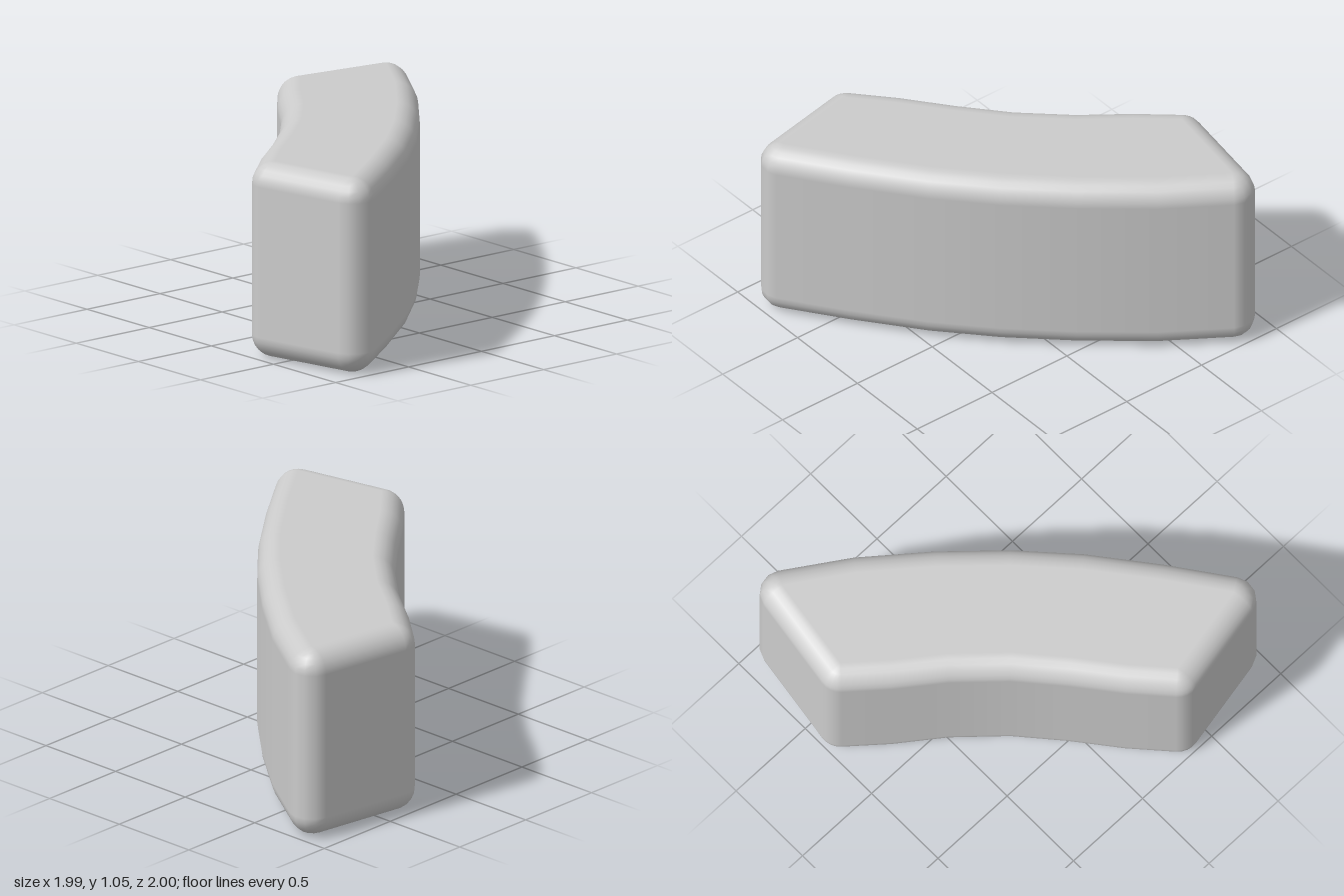
import * as THREE from 'three';

const HEIGHT = 1.05, RADIUS = 0.12, CORNER_STEPS = 4, EDGE_STEPS = 6;

// Plan of the block's core [x, z]; the rounded surface lies RADIUS outside it
const outerSide = [[-0.8, -0.88], [-0.472, -0.664], [-0.149, -0.4], [0.135, -0.136],
  [0.389, 0.138], [0.644, 0.462], [0.872, 0.778]];
const innerSide = [[0.37, 0.88], [0.195, 0.686], [0.01, 0.452], [-0.196, 0.215],
  [-0.443, -0.012], [-0.686, -0.194], [-0.88, -0.36]];

// Outward direction, as an angle in plan, for travel from a to b
const outward = (a, b) => Math.atan2(a[0] - b[0], b[1] - a[1]);

// Loop of core points with outward angles; end corners turn in small steps
function planLoop() {
  const loop = [];
  const sides = [outerSide, innerSide];
  sides.forEach((side, s) => {
    const last = side.length - 1;
    const next = sides[1 - s];
    side.forEach((p, i) => {
      const angle = outward(side[Math.max(i - 1, 0)], side[Math.min(i + 1, last)]);
      loop.push({ p, angle });
    });
    // From the side's end, round to the end face, then round to the other side
    const stops = [outward(side[last - 1], side[last]), outward(side[last], next[0]), outward(next[0], next[1])];
    for (let k = 0; k < 2; k++) {
      const turn = THREE.MathUtils.euclideanModulo(stops[k + 1] - stops[k], 2 * Math.PI);
      const first = k === 0 ? 1 : 0;
      const end = k === 0 ? CORNER_STEPS : CORNER_STEPS - 1;
      for (let i = first; i <= end; i++) {
        loop.push({ p: k === 0 ? side[last] : next[0], angle: stops[k] + turn * i / CORNER_STEPS });
      }
    }
  });
  return loop;
}

function roundedBlock() {
  const loop = planLoop(), n = loop.length;
  const positions = [], normals = [], index = [];

  // Quarter-round rings for the lower edge, then for the upper edge
  const rings = [];
  for (let j = 0; j <= EDGE_STEPS; j++) rings.push([RADIUS, (j / EDGE_STEPS - 1) * Math.PI / 2]);
  for (let j = 0; j <= EDGE_STEPS; j++) rings.push([HEIGHT - RADIUS, j / EDGE_STEPS * Math.PI / 2]);
  for (const [y, tilt] of rings) {
    for (const { p, angle } of loop) {
      const d = [Math.cos(tilt) * Math.cos(angle), Math.sin(tilt), Math.cos(tilt) * Math.sin(angle)];
      positions.push(p[0] + RADIUS * d[0], y + RADIUS * d[1], p[1] + RADIUS * d[2]);
      normals.push(...d);
    }
  }
  for (let j = 0; j < rings.length - 1; j++) {
    for (let i = 0; i < n; i++) {
      const a = j * n + i, b = j * n + (i + 1) % n;
      index.push(a, a + n, b, b, a + n, b + n);
    }
  }

  // Flat top and bottom: strips from the outer side across to the inner side
  const top = (rings.length - 1) * n;
  const innerEnd = outerSide.length + 2 * CORNER_STEPS + innerSide.length - 1;
  for (let i = 0; i < outerSide.length - 1; i++) {
    const a = i, b = i + 1, c = innerEnd - i, d = innerEnd - i - 1;
    index.push(top + a, top + c, top + b, top + b, top + c, top + d);
    index.push(a, b, c, b, d, c);
  }

  const geometry = new THREE.BufferGeometry();
  geometry.setAttribute('position', new THREE.Float32BufferAttribute(positions, 3));
  geometry.setAttribute('normal', new THREE.Float32BufferAttribute(normals, 3));
  geometry.setIndex(index);
  return geometry;
}

export function createModel() {
  const model = new THREE.Group();
  model.name = 'curvedBlock';
  const block = new THREE.Mesh(roundedBlock(), new THREE.MeshStandardMaterial({ color: 0xcccccc }));
  block.name = 'roundedBlock';
  model.add(block);
  return model;
}
